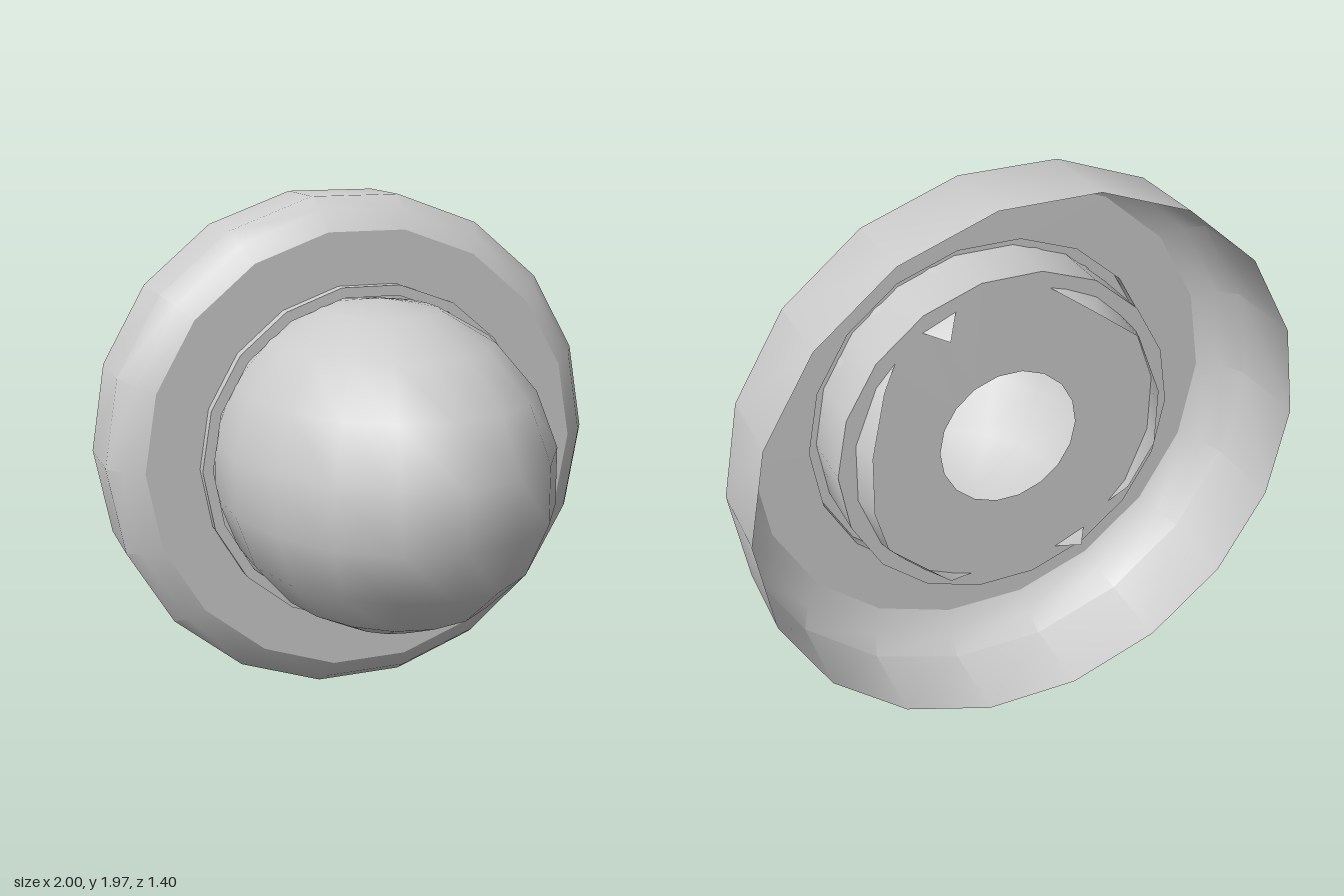
import * as THREE from 'three';
import { toCreasedNormals } from 'three/addons/utils/BufferGeometryUtils.js';

const SIDES = 18;
const CENTRE_Y = 0.985;

export function createModel() {
  const model = new THREE.Group();
  const material = new THREE.MeshStandardMaterial({ color: 0xcccccc, side: THREE.DoubleSide });

  const add = (name, geometry, z) => {
    const mesh = new THREE.Mesh(geometry, material);
    mesh.name = name;
    mesh.position.set(0, CENTRE_Y, z);
    model.add(mesh);
  };

  // Housing: open-backed bevelled rim, raised lip and a recessed cup with a hole in its floor
  const profile = [
    [1, -0.7], [1, -0.4], [0.95, -0.32], [0.875, -0.27], [0.67, -0.27],
    [0.67, -0.225], [0.63, -0.225], [0.63, -0.45], [0.26, -0.45],
  ].map(([r, z]) => new THREE.Vector2(r, z));
  const housing = new THREE.LatheGeometry(profile, SIDES, Math.PI / 2).rotateX(Math.PI / 2);
  add('housing', toCreasedNormals(housing, 0.58), 0);

  // Dome: stretched sphere with its rear faces left open behind the cup floor
  const dome = new THREE.SphereGeometry(0.63, SIDES, 9, Math.PI / 2).scale(1, 1, 4 / 3);
  const position = dome.attributes.position;
  const index = Array.from(dome.index.array);
  const kept = [];
  for (let i = 0; i < index.length; i += 3) {
    const face = index.slice(i, i + 3);
    if (face.every((v) => position.getZ(v) > -0.47)) kept.push(...face);
  }
  dome.setIndex(kept);
  add('dome', dome, -0.13);

  return model;
}
